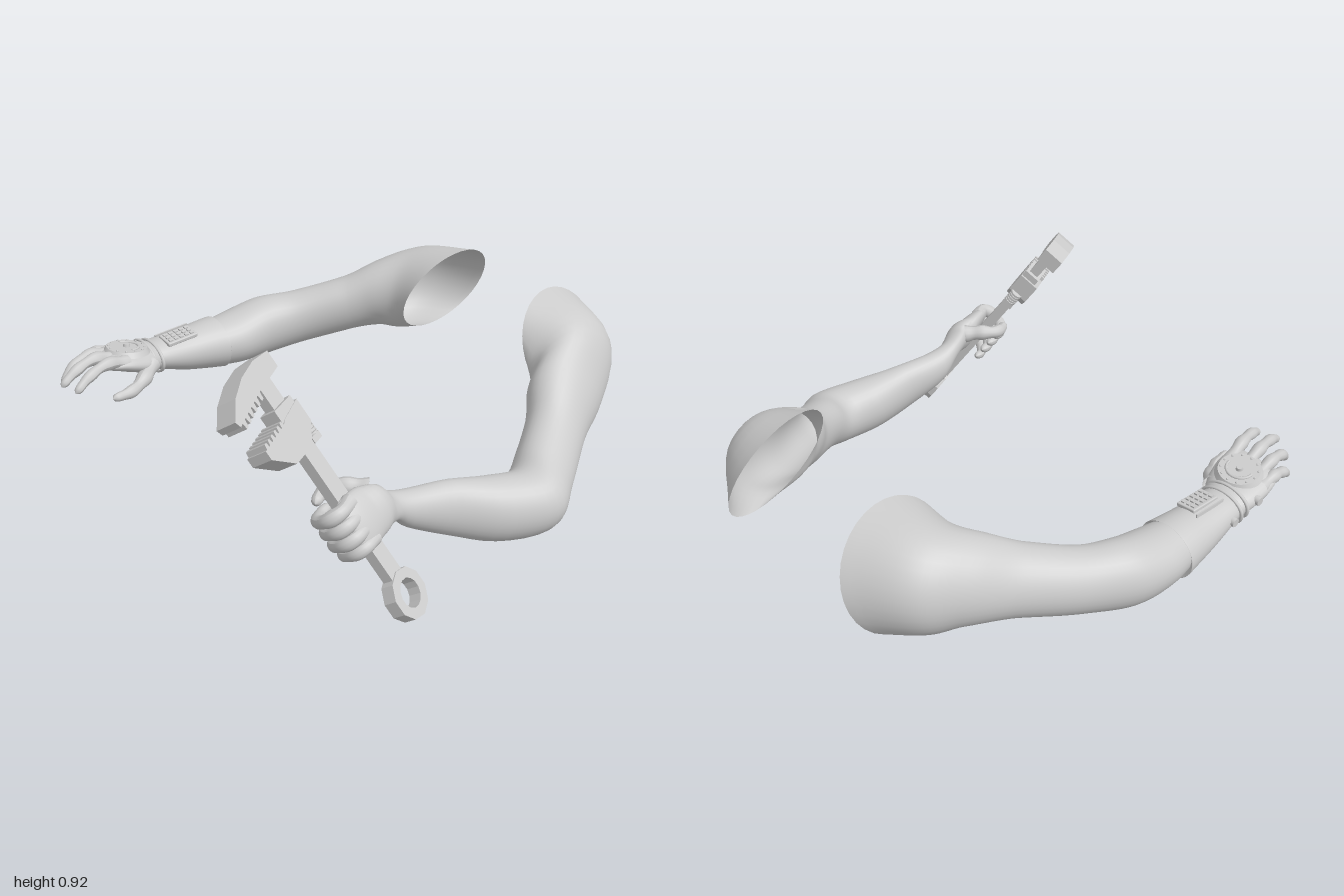
import * as THREE from 'three';
import { RoundedBoxGeometry } from 'three/addons/geometries/RoundedBoxGeometry.js';

const V = (x, y, z) => new THREE.Vector3(x, y, z);
const skin = new THREE.MeshStandardMaterial({ color: 0xcccccc, side: THREE.DoubleSide });
const metal = new THREE.MeshStandardMaterial({ color: 0xcccccc, flatShading: true });

function add(parent, name, geometry, material = skin, pos = [0, 0, 0], rot = [0, 0, 0]) {
  const m = new THREE.Mesh(geometry, material);
  m.name = name;
  m.position.set(...pos);
  m.rotation.set(...rot);
  parent.add(m);
  return m;
}

// Cross-section: outer and inner side points plus the half-height vector
function sec(o, i, v) {
  const a = V(...o), b = V(...i);
  return { c: a.clone().add(b).multiplyScalar(0.5), u: a.clone().sub(b).multiplyScalar(0.5), v: V(...v) };
}

// Smooth skin through elliptical cross-sections
function loft(secs, rings = 56, seg = 32) {
  const [cs, us, vs] = ['c', 'u', 'v'].map(k => new THREE.CatmullRomCurve3(secs.map(s => s[k])));
  const pos = [], idx = [];
  for (let r = 0; r <= rings; r++) {
    const t = r / rings, c = cs.getPoint(t), u = us.getPoint(t), v = vs.getPoint(t);
    for (let s = 0; s < seg; s++) {
      const a = s / seg * Math.PI * 2;
      const p = c.clone().addScaledVector(u, Math.cos(a)).addScaledVector(v, Math.sin(a));
      pos.push(p.x, p.y, p.z);
      if (r < rings) {
        const i = r * seg + s, j = r * seg + (s + 1) % seg;
        idx.push(i, j, i + seg, j, j + seg, i + seg);
      }
    }
  }
  const g = new THREE.BufferGeometry();
  g.setAttribute('position', new THREE.Float32BufferAttribute(pos, 3));
  g.setIndex(idx);
  g.computeVertexNormals();
  return g;
}

// Tapered finger with slight joint bulges and a rounded tip
function finger(points, r0, r1, bulge = 0.08) {
  const curve = new THREE.CatmullRomCurve3(points), n = 30, seg = 12;
  const g = new THREE.TubeGeometry(curve, n, 1, seg), p = g.attributes.position, q = V();
  for (let i = 0; i <= n; i++) {
    const t = i / n, c = curve.getPointAt(t);
    const tip = Math.sqrt(Math.max(0, 1 - Math.pow(Math.max(0, (t - 0.84) / 0.16), 2)));
    const r = (r0 + (r1 - r0) * t) * (1 + bulge * Math.cos(t * Math.PI * 6)) * tip + 0.0003;
    for (let j = 0; j <= seg; j++) {
      const k = i * (seg + 1) + j;
      q.fromBufferAttribute(p, k).sub(c).multiplyScalar(r).add(c);
      p.setXYZ(k, q.x, q.y, q.z);
    }
  }
  g.computeVertexNormals();
  return g;
}

// Wrench frame: A along the shaft, B towards the jaws, C out of the flat side
const O = V(0.86, 0.09, 0.495);
const A = V(-0.49, 0.817, 0.305).normalize();
const B = V(0.45, -0.06, 0.89).addScaledVector(A, -A.dot(V(0.45, -0.06, 0.89))).normalize();
const C = A.clone().cross(B);
const W = (a, b, c) => O.clone().addScaledVector(A, a).addScaledVector(B, b).addScaledVector(C, c);

function slab(points, depth, hole) {
  const s = new THREE.Shape(points.map(p => new THREE.Vector2(...p)));
  if (hole) s.holes.push(new THREE.Path(hole.map(p => new THREE.Vector2(...p))));
  return new THREE.ExtrudeGeometry(s, { depth, bevelEnabled: false }).translate(0, 0, -depth / 2);
}
const polygon = (r, n) => Array.from({ length: n }, (_, i) => {
  const a = (i + 0.5) / n * Math.PI * 2;
  return [r * Math.cos(a), r * Math.sin(a)];
});
// Saw-tooth edge from p to q
function teeth(p, q, n, h) {
  const out = [];
  for (let i = 0; i < n; i++) for (const [f, d] of [[0, 0], [0.15, h], [0.6, h], [0.75, 0]]) {
    const t = (i + f) / n;
    out.push([p[0] + (q[0] - p[0]) * t, p[1] + (q[1] - p[1]) * t + d]);
  }
  return out;
}

function buildWrench() {
  const g = new THREE.Group();
  g.name = 'wrench';
  add(g, 'shaft', new THREE.BoxGeometry(0.072, 0.86, 0.042), metal, [0, 0.51, 0]);
  add(g, 'ringEnd', slab(polygon(0.094, 10), 0.052, polygon(0.054, 14)), metal);
  add(g, 'upperJaw', slab([[-0.09, 0.915], [-0.09, 0.98], [0.0, 0.99], [0.09, 0.975], [0.17, 0.94],
    [0.235, 0.885], [0.225, 0.86], ...teeth([0.21, 0.865], [0.05, 0.9], 6, -0.025), [0.03, 0.9]], 0.09),
    metal, [0, 0, 0.012]);
  add(g, 'slidingJaw', slab([[-0.07, 0.79], [-0.07, 0.7], [0.0, 0.635], [0.11, 0.635], [0.2, 0.71],
    [0.2, 0.745], ...teeth([0.19, 0.745], [0.05, 0.76], 6, 0.018), [0.04, 0.77]], 0.09), metal, [0, 0, 0.008]);
  add(g, 'jawCollar', new THREE.BoxGeometry(0.11, 0.05, 0.07), metal, [0, 0.79, 0]);
  add(g, 'adjusterBracket', new THREE.BoxGeometry(0.05, 0.025, 0.05), metal, [-0.06, 0.64, 0]);
  for (let i = 0; i < 5; i++)
    add(g, 'adjusterScrew', new THREE.CylinderGeometry(0.026, 0.026, 0.009, 12), metal, [-0.07, 0.655 + i * 0.012, 0]);
  g.applyMatrix4(new THREE.Matrix4().makeBasis(B, A, C.clone().negate()).setPosition(O));
  return g;
}

function buildLeftArm() {
  const g = new THREE.Group();
  g.name = 'leftArm';
  // Hand sections follow the wrench grip
  const grip = (a, b, c, thick, wide) => ({ c: W(a, b, c), u: C.clone().multiplyScalar(thick), v: A.clone().multiplyScalar(wide) });
  add(g, 'leftArmSkin', loft([
    sec([0.36, 0.475, -0.97], [0.42, 0.515, -0.49], [-0.075, 0.235, 0.03]),
    sec([0.56, 0.46, -0.85], [0.47, 0.45, -0.48], [0.0, 0.2, 0.0]),
    sec([0.66, 0.38, -0.69], [0.51, 0.4, -0.42], [0.01, 0.16, 0.04]),
    sec([0.74, 0.31, -0.52], [0.57, 0.33, -0.36], [0.02, 0.125, 0.05]),
    sec([0.87, 0.24, -0.32], [0.66, 0.26, -0.22], [0, 0.12, 0.03]),
    sec([0.955, 0.2, -0.18], [0.7, 0.21, -0.12], [0, 0.127, 0]),
    sec([0.91, 0.21, 0.01], [0.68, 0.22, 0.02], [0, 0.125, -0.02]),
    sec([0.81, 0.26, 0.2], [0.66, 0.27, 0.2], [0, 0.105, -0.02]),
    sec([0.757, 0.315, 0.38], [0.64, 0.32, 0.38], [0, 0.072, 0]),
    grip(0.3, -0.11, 0.06, 0.045, 0.075),
    grip(0.33, -0.03, 0.06, 0.045, 0.1),
    grip(0.335, 0.05, 0.055, 0.038, 0.105),
    grip(0.335, 0.1, 0.045, 0.024, 0.09),
    grip(0.335, 0.11, 0.04, 0.001, 0.002)
  ]));
  // Fingers wrap the shaft front and close behind it
  for (let i = 0; i < 4; i++) {
    const a = 0.258 + i * 0.051, k = i === 0 ? 0.9 : 1;
    add(g, 'leftFinger' + (i + 1), finger([[0.03, 0.06], [0.095, 0.058], [0.122, 0.015], [0.105, -0.04],
      [0.05, -0.068], [-0.01, -0.06]].map(([b, c]) => W(a, b * k, c)), 0.029 * k, 0.022 * k));
  }
  add(g, 'leftThumb', finger([W(0.38, -0.1, 0.05), W(0.425, -0.075, 0.0), W(0.455, -0.045, -0.045),
    W(0.46, 0.01, -0.06), W(0.455, 0.055, -0.055)], 0.036, 0.021));
  return g;
}

function buildRightArm() {
  const g = new THREE.Group();
  g.name = 'rightArm';
  add(g, 'rightArmSkin', loft([
    sec([-0.37, 0.46, -0.99], [-0.33, 0.49, -0.5], [0.1, 0.215, 0.0]),
    sec([-0.57, 0.46, -0.85], [-0.42, 0.45, -0.48], [0.03, 0.195, 0]),
    sec([-0.65, 0.43, -0.7], [-0.49, 0.44, -0.42], [0, 0.16, 0.02]),
    sec([-0.73, 0.39, -0.5], [-0.55, 0.4, -0.34], [0, 0.13, 0.03]),
    sec([-0.85, 0.34, -0.27], [-0.65, 0.35, -0.17], [0, 0.125, 0.02]),
    sec([-0.94, 0.31, -0.06], [-0.695, 0.33, -0.03], [0, 0.135, 0]),
    sec([-0.955, 0.3, 0.1], [-0.7, 0.31, 0.1], [0, 0.118, 0]),
    sec([-0.945, 0.3, 0.19], [-0.715, 0.31, 0.19], [0, 0.105, 0]),
    sec([-0.93, 0.31, 0.28], [-0.73, 0.31, 0.28], [0, 0.09, 0])
  ]));
  // Sleeve of the glove
  add(g, 'gloveCuff', loft([
    sec([-0.94, 0.3, 0.2], [-0.72, 0.31, 0.2], [0, 0.1, 0]),
    sec([-0.962, 0.3, 0.18], [-0.705, 0.31, 0.18], [0, 0.116, 0]),
    sec([-0.955, 0.305, 0.24], [-0.715, 0.315, 0.24], [0, 0.109, 0]),
    sec([-0.94, 0.315, 0.36], [-0.73, 0.325, 0.36], [0, 0.09, 0]),
    sec([-0.925, 0.34, 0.49], [-0.74, 0.345, 0.49], [0, 0.064, 0]),
    sec([-0.92, 0.343, 0.53], [-0.745, 0.348, 0.53], [0, 0.056, 0])
  ], 40));
  add(g, 'gloveHand', loft([
    sec([-0.92, 0.34, 0.5], [-0.745, 0.345, 0.5], [0, 0.058, 0]),
    sec([-0.935, 0.36, 0.58], [-0.7, 0.365, 0.58], [0, 0.056, 0]),
    sec([-0.935, 0.375, 0.66], [-0.685, 0.395, 0.66], [0, 0.05, 0]),
    sec([-0.925, 0.39, 0.72], [-0.69, 0.41, 0.72], [0, 0.038, 0]),
    sec([-0.89, 0.395, 0.755], [-0.71, 0.41, 0.755], [0, 0.022, 0]),
    sec([-0.81, 0.4, 0.76], [-0.808, 0.4, 0.76], [0, 0.001, 0])
  ], 30));
  const paths = {
    littleFinger: [[-0.9, 0.385, 0.66], [-0.9, 0.4, 0.74], [-0.89, 0.37, 0.82], [-0.88, 0.33, 0.865]],
    ringFinger: [[-0.855, 0.4, 0.69], [-0.85, 0.425, 0.79], [-0.835, 0.395, 0.88], [-0.82, 0.345, 0.93]],
    middleFinger: [[-0.79, 0.41, 0.7], [-0.78, 0.44, 0.8], [-0.76, 0.42, 0.9], [-0.745, 0.38, 0.97]],
    indexFinger: [[-0.725, 0.41, 0.68], [-0.705, 0.44, 0.78], [-0.68, 0.42, 0.88], [-0.66, 0.38, 0.95]],
    rightThumb: [[-0.74, 0.355, 0.56], [-0.68, 0.335, 0.63], [-0.64, 0.32, 0.71], [-0.62, 0.325, 0.81]]
  };
  for (const [name, p] of Object.entries(paths))
    add(g, name, finger(p.map(q => V(...q)), name === 'rightThumb' ? 0.036 : 0.028, 0.019, 0.1));

  // Wrist bands
  for (const [z, y] of [[0.505, 0.342], [0.54, 0.35]])
    add(g, 'wristBand', new THREE.TorusGeometry(0.1, 0.008, 8, 36), skin, [-0.832, y, z]).scale.y = 0.66;

  // Round plate on the back of the hand
  const plate = new THREE.Group();
  plate.name = 'handPlate';
  plate.position.set(-0.805, 0.425, 0.635);
  plate.rotation.set(-0.16, 0, 0.06);
  add(plate, 'plateDisc', new THREE.CylinderGeometry(0.085, 0.098, 0.022, 32));
  add(plate, 'plateDial', new THREE.TorusGeometry(0.055, 0.006, 8, 28, Math.PI), skin, [0, 0.012, 0.005], [-Math.PI / 2, 0, 0]);
  add(plate, 'plateHub', new THREE.CylinderGeometry(0.013, 0.016, 0.016, 14), skin, [0, 0.015, 0]);
  for (let i = 0; i < 12; i++) {
    const a = i / 12 * Math.PI * 2;
    add(plate, 'rivet', new THREE.SphereGeometry(0.005, 8, 6), skin, [0.075 * Math.cos(a), 0.012, 0.075 * Math.sin(a)]);
  }
  g.add(plate);

  // Keypad on the sleeve
  const pad = new THREE.Group();
  pad.name = 'keypad';
  pad.position.set(-0.802, 0.408, 0.385);
  pad.rotation.set(0.06, 0, -0.1);
  add(pad, 'padBase', new RoundedBoxGeometry(0.085, 0.018, 0.145, 2, 0.005));
  for (let r = 0; r < 5; r++) for (let c = 0; c < 3; c++)
    add(pad, 'key', new THREE.BoxGeometry(0.016, 0.008, 0.016), metal, [(c - 1) * 0.024, 0.011, (r - 2) * 0.026]);
  add(pad, 'padStrip', new THREE.BoxGeometry(0.006, 0.014, 0.16), metal, [-0.062, -0.004, 0]);
  g.add(pad);

  // Side knobs
  for (const [x, y, z] of [[-0.932, 0.37, 0.6], [-0.928, 0.34, 0.46]])
    add(g, 'sideKnob', new THREE.CylinderGeometry(0.018, 0.02, 0.025, 14), skin, [x, y, z], [0, 0, Math.PI / 2]);
  return g;
}

export function createModel() {
  const model = new THREE.Group();
  model.name = 'armsWithWrench';
  model.add(buildLeftArm(), buildRightArm(), buildWrench());
  return model;
}
